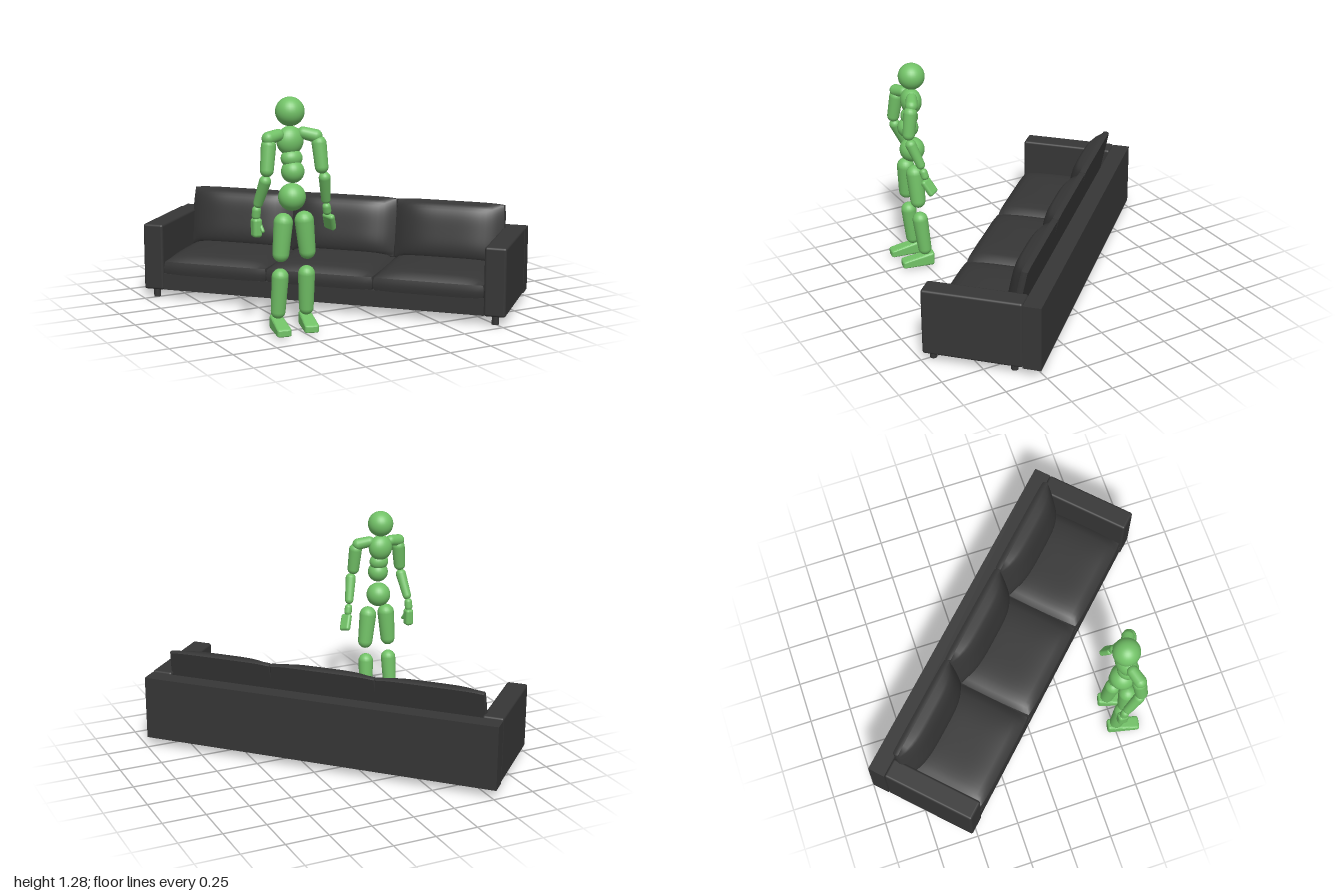
import * as THREE from 'three';
import { RoundedBoxGeometry } from 'three/addons/geometries/RoundedBoxGeometry.js';

const leather = new THREE.MeshStandardMaterial({ color: 0x363636 });
leather.name = 'charcoal leather';
const green = new THREE.MeshStandardMaterial({ color: 0x72c267 });
green.name = 'mannequin green';

function add(parent, name, geometry, material, x = 0, y = 0, z = 0) {
  const mesh = new THREE.Mesh(geometry, material);
  mesh.name = name;
  mesh.position.set(x, y, z);
  parent.add(mesh);
  return mesh;
}

// Pillow: flat underside at y = 0, thin rim, domed top; a higher power gives a more pointed dome
function cushionGeometry(w, d, rim, crown, power) {
  const g = new THREE.BoxGeometry(2, 2, 2, 20, 4, 20);
  const p = g.attributes.position;
  for (let i = 0; i < p.count; i++) {
    const u = p.getX(i), v = p.getY(i), t = p.getZ(i);
    const dome = Math.max(0, 1 - u ** 4) ** power * Math.max(0, 1 - t ** 4) ** 0.5;
    const bulge = 1 - 0.02 * v * v;
    p.setXYZ(i,
      u * (w / 2 - 0.008 * t * t) * bulge,
      (v + 1) / 2 * (rim + crown * dome),
      t * (d / 2 - 0.008 * u ** 6) * bulge);
  }
  g.computeVertexNormals();
  return g;
}

// Tapered capsule between two points
function limb(parent, name, a, b, r1, r2) {
  const A = new THREE.Vector3(...a), B = new THREE.Vector3(...b);
  const len = A.distanceTo(B), pts = [];
  for (let i = 0; i <= 6; i++) {
    const t = -Math.PI / 2 + i / 6 * Math.PI / 2;
    pts.push(new THREE.Vector2(r1 * Math.cos(t), r1 * Math.sin(t)));
  }
  for (let i = 0; i <= 6; i++) {
    const t = i / 6 * Math.PI / 2;
    pts.push(new THREE.Vector2(r2 * Math.cos(t), len + r2 * Math.sin(t)));
  }
  const mesh = add(parent, name, new THREE.LatheGeometry(pts, 20), green, ...a);
  mesh.quaternion.setFromUnitVectors(new THREE.Vector3(0, 1, 0), B.sub(A).normalize());
}

function ball(parent, name, x, y, z, rx, ry = rx, rz = rx) {
  add(parent, name, new THREE.SphereGeometry(1, 28, 20), green, x, y, z).scale.set(rx, ry, rz);
}

function createSofa() {
  const sofa = new THREE.Group();
  sofa.name = 'sofa';
  const L = 1.073, D = 0.334, arm = 0.122, back = 0.103;

  // Frame
  add(sofa, 'backrest', new THREE.BoxGeometry(2 * L, 0.38, back), leather, 0, 0.24, -D + back / 2);
  add(sofa, 'seatBase', new THREE.BoxGeometry(2 * (L - arm), 0.095, 2 * D - back - 0.008), leather, 0, 0.0995, back / 2 - 0.004);
  for (const s of [-1, 1]) {
    add(sofa, 'armrest', new RoundedBoxGeometry(arm, 0.39, 2 * D - back, 3, 0.014), leather,
      s * (L - arm / 2), 0.245, back / 2);
    for (const z of [-0.17, 0.29])
      add(sofa, 'leg', new THREE.CylinderGeometry(0.02, 0.02, 0.055, 16), leather, s * 1.01, 0.0275, z);
  }

  // Three seat cushions and three leaning back cushions
  const w = 2 * (L - arm) / 3;
  const seat = cushionGeometry(w + 0.012, 0.575, 0.075, 0.048, 0.5);
  const rest = cushionGeometry(w + 0.022, 0.36, 0.035, 0.075, 1);
  for (let i = -1; i <= 1; i++) {
    add(sofa, 'seatCushion', seat, leather, i * w, 0.145, 0.045);
    add(sofa, 'backCushion', rest, leather, i * (w + 0.006), 0.396, -0.193).rotation.x = Math.PI / 2 - 0.2;
  }
  sofa.rotation.y = -45.5 * Math.PI / 180;
  return sofa;
}

function createMannequin() {
  const man = new THREE.Group();
  man.name = 'mannequin';

  // Head and torso
  ball(man, 'head', -0.546, 1.199, 0.508, 0.078);
  ball(man, 'chest', -0.55, 1.045, 0.515, 0.075, 0.078, 0.06);
  ball(man, 'upperBelly', -0.548, 0.953, 0.53, 0.06, 0.05, 0.05);
  ball(man, 'lowerBelly', -0.548, 0.884, 0.542, 0.062);
  ball(man, 'pelvis', -0.543, 0.742, 0.522, 0.074);

  // Right arm
  limb(man, 'rightShoulder', [-0.625, 1.08, 0.525], [-0.69, 1.07, 0.545], 0.033, 0.036);
  limb(man, 'rightUpperArm', [-0.69, 1.03, 0.545], [-0.708, 0.905, 0.56], 0.04, 0.036);
  limb(man, 'rightForearm', [-0.714, 0.845, 0.55], [-0.727, 0.72, 0.49], 0.032, 0.026);
  limb(man, 'rightWrist', [-0.73, 0.68, 0.475], [-0.73, 0.65, 0.47], 0.024, 0.024);
  add(man, 'rightHand', new RoundedBoxGeometry(0.052, 0.105, 0.06, 3, 0.018), green, -0.728, 0.585, 0.468);
  limb(man, 'rightThumb', [-0.715, 0.615, 0.47], [-0.708, 0.57, 0.505], 0.012, 0.01);

  // Left arm
  limb(man, 'leftShoulder', [-0.485, 1.085, 0.54], [-0.425, 1.068, 0.57], 0.033, 0.036);
  limb(man, 'leftUpperArm', [-0.413, 1.03, 0.585], [-0.407, 0.905, 0.602], 0.04, 0.036);
  limb(man, 'leftForearm', [-0.388, 0.845, 0.6], [-0.358, 0.72, 0.557], 0.032, 0.026);
  limb(man, 'leftWrist', [-0.348, 0.675, 0.545], [-0.342, 0.65, 0.54], 0.023, 0.023);
  const hand = add(man, 'leftHand', new RoundedBoxGeometry(0.035, 0.105, 0.07, 3, 0.015), green, -0.32, 0.588, 0.525);
  hand.rotation.set(0.25, 0.5, 0.4);

  // Heel-to-toe wedge, wider and lower at the toes
  const wedge = new RoundedBoxGeometry(0.076, 0.085, 0.195, 3, 0.016);
  const p = wedge.attributes.position;
  for (let i = 0; i < p.count; i++) {
    const k = p.getZ(i) / 0.195 + 0.5;
    p.setY(i, (p.getY(i) + 0.0425) * (1 - 0.5 * k));
    p.setX(i, p.getX(i) * (0.9 + 0.15 * k));
  }
  wedge.computeVertexNormals();

  // Legs and feet
  for (const [side, hip, knee, ankle, turn] of [
    ['right', -0.605, -0.618, -0.622, -0.18],
    ['left', -0.48, -0.46, -0.452, -0.24],
  ]) {
    limb(man, side + 'Thigh', [hip, 0.612, 0.54], [knee, 0.443, 0.535], 0.052, 0.045);
    limb(man, side + 'Shin', [knee, 0.314, 0.525], [ankle, 0.12, 0.505], 0.046, 0.04);
    add(man, side + 'Foot', wedge, green, ankle - 0.01, 0.012, 0.548).rotation.y = turn;
  }
  return man;
}

export function createModel() {
  const model = new THREE.Group();
  model.name = 'sofaWithMannequin';
  model.add(createSofa(), createMannequin());
  return model;
}
